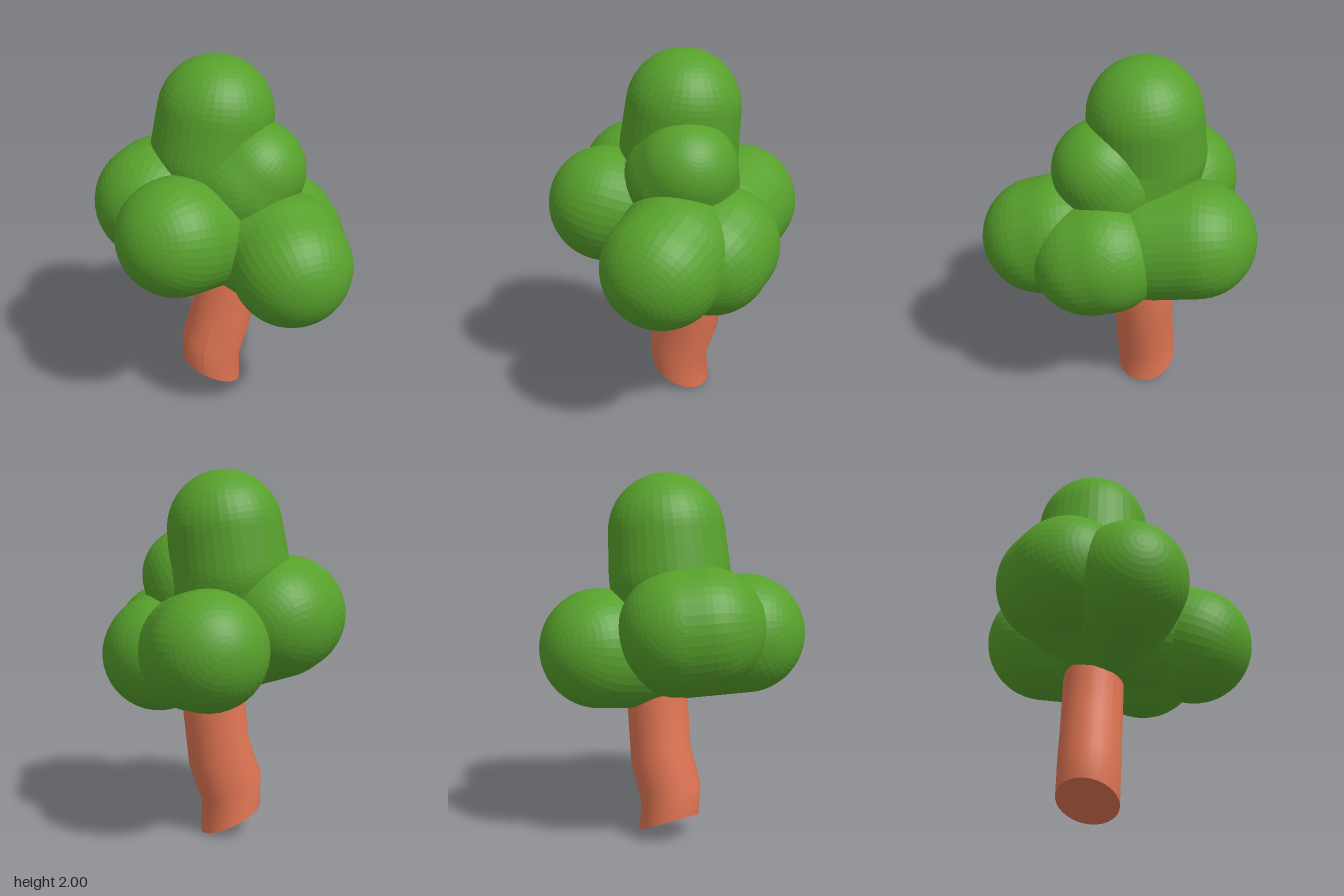
import * as THREE from 'three';

const leafMaterial = new THREE.MeshStandardMaterial({ color: 0x57a02c, flatShading: true });
const barkMaterial = new THREE.MeshStandardMaterial({ color: 0xe07553 });

// Rounded, tapered limb from a to b; each end is [x, y, z, radius]
function limbGeometry(a, b) {
  const start = new THREE.Vector3(...a.slice(0, 3));
  const dir = new THREE.Vector3(...b.slice(0, 3)).sub(start);
  const length = dir.length();
  const tilt = Math.asin(THREE.MathUtils.clamp((a[3] - b[3]) / length, -0.9, 0.9));
  const profile = [];
  const arc = (y, r, from, to) => {
    for (let i = 0; i <= 14; i++) {
      const t = from + (to - from) * i / 14;
      profile.push(new THREE.Vector2(Math.max(0, r * Math.cos(t)), y + r * Math.sin(t)));
    }
  };
  arc(0, a[3], -Math.PI / 2, tilt);
  arc(length, b[3], tilt, Math.PI / 2);
  const geometry = new THREE.LatheGeometry(profile, 40);
  const turn = new THREE.Quaternion().setFromUnitVectors(new THREE.Vector3(0, 1, 0), dir.normalize());
  return geometry.applyQuaternion(turn).translate(start.x, start.y, start.z);
}

// Each clump grows from the crown's core through its nodes to a round end
const core = [0, 1.06, 0.02, 0.3];
const clumps = {
  topClump: [[-0.115, 1.47, -0.01, 0.325], [-0.09, 1.69, -0.025, 0.31]],
  upperLeftClump: [[0.07, 1.34, 0.05, 0.31], [0.14, 1.42, 0.05, 0.27]],
  frontClump: [[-0.2, 1.155, 0.385, 0.318]],
  rightClump: [[-0.385, 1.21, 0.01, 0.32], [-0.395, 1.22, 0.13, 0.32]],
  backClump: [[0, 1.04, -0.21, 0.32], [-0.14, 1.08, -0.39, 0.32]],
  backLeftClump: [[0.25, 1.01, -0.1, 0.32], [0.3, 0.98, -0.03, 0.32]],
  frontLeftClump: [[0.33, 1.04, 0.2, 0.32], [0.39, 1.0, 0.285, 0.32]],
};

// Bent trunk: the rows of a cylinder follow these centres, all cut on one slant
function trunkGeometry() {
  const centres = [
    [-0.125, 0.077, -0.015], [-0.125, 0.25, -0.005], [-0.07, 0.46, -0.055],
    [-0.04, 0.78, -0.07], [-0.03, 1.05, -0.07],
  ];
  const rows = centres.length - 1;
  const geometry = new THREE.CylinderGeometry(0.165, 0.165, 1, 32, rows);
  const p = geometry.attributes.position;
  for (let i = 0; i < p.count; i++) {
    const [cx, cy, cz] = centres[Math.round((p.getY(i) + 0.5) * rows)];
    const x = p.getX(i), z = p.getZ(i);
    p.setXYZ(i, cx + x, cy - 0.4 * x + 0.24 * z, cz + z);
  }
  geometry.computeVertexNormals();
  return geometry;
}

export function createModel() {
  const tree = new THREE.Group();
  tree.name = 'tree';

  const trunk = new THREE.Mesh(trunkGeometry(), barkMaterial);
  trunk.name = 'trunk';
  tree.add(trunk);

  const crown = new THREE.Group();
  crown.name = 'crown';
  for (const [name, nodes] of Object.entries(clumps)) {
    const clump = new THREE.Group();
    clump.name = name;
    [core, ...nodes].forEach((node, i, path) => {
      if (i === 0) return;
      const limb = new THREE.Mesh(limbGeometry(path[i - 1], node), leafMaterial);
      limb.name = i === path.length - 1 ? 'clumpEnd' : 'clumpBase';
      clump.add(limb);
    });
    crown.add(clump);
  }
  tree.add(crown);
  return tree;
}
